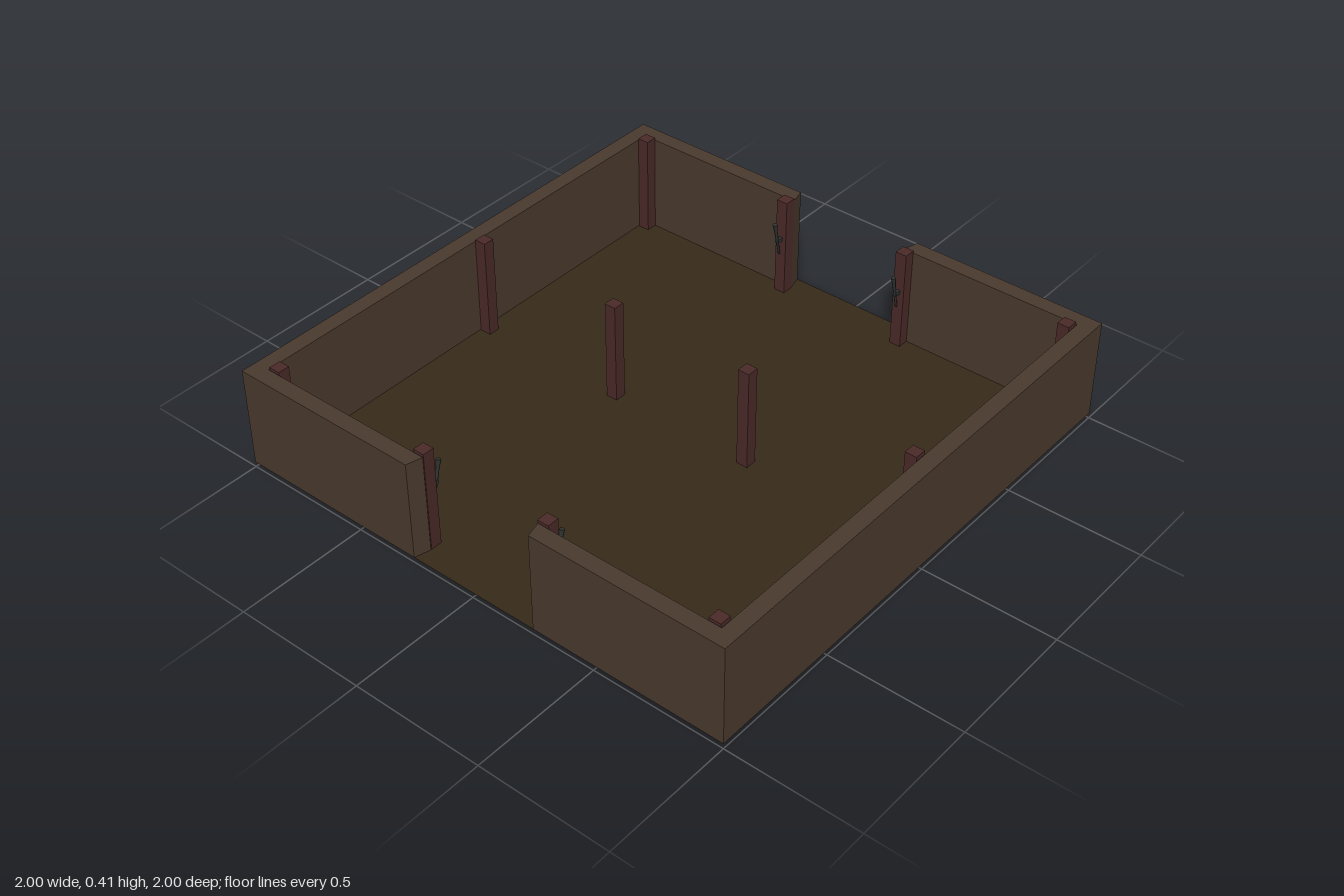
import * as THREE from 'three';

const wallMat = new THREE.MeshStandardMaterial({ color: 0x4a3a2e });
const floorMat = new THREE.MeshStandardMaterial({ color: 0x372a1a, side: THREE.DoubleSide });
const postMat = new THREE.MeshStandardMaterial({ color: 0x4a2a28 });
const ironMat = new THREE.MeshStandardMaterial({ color: 0x2f3330 });

const BASE = 0.02, WALL_TOP = 0.4, POST_TOP = 0.408, POST = 0.044;
const INNER = 0.94, GAP_IN = 0.24, GAP_OUT = 0.255;

function add(parent, name, geometry, material, x = 0, y = 0, z = 0) {
  const mesh = new THREE.Mesh(geometry, material);
  mesh.name = name;
  mesh.position.set(x, y, z);
  parent.add(mesh);
  return mesh;
}

const plan = (points) => new THREE.Shape(points.map(([x, z]) => new THREE.Vector2(x, -z)));

// Wall torch: bracket, leaning handle and wider head; dir is the way it points along z
function makeTorch(dir) {
  const torch = new THREE.Group();
  torch.name = 'torch';
  add(torch, 'torchBracket', new THREE.BoxGeometry(0.014, 0.014, 0.026), ironMat, 0, 0.25, dir * 0.011);
  const stick = new THREE.Group();
  stick.name = 'torchStick';
  stick.position.set(0, 0.19, dir * 0.008);
  stick.rotation.x = dir * 0.21;
  add(stick, 'torchHandle', new THREE.CylinderGeometry(0.006, 0.004, 0.11, 8), ironMat, 0, 0.055, 0);
  add(stick, 'torchHead', new THREE.CylinderGeometry(0.009, 0.006, 0.035, 8), ironMat, 0, 0.125, 0);
  torch.add(stick);
  return torch;
}

export function createModel() {
  const model = new THREE.Group();
  model.name = 'walledRoom';

  // Floor, running out through both openings
  const floorGeo = new THREE.ShapeGeometry(plan([
    [-INNER, -INNER], [-GAP_IN, -INNER], [-GAP_OUT, -1], [GAP_OUT, -1], [GAP_IN, -INNER], [INNER, -INNER],
    [INNER, INNER], [GAP_IN, INNER], [GAP_OUT, 1], [-GAP_OUT, 1], [-GAP_IN, INNER], [-INNER, INNER],
  ]));
  floorGeo.rotateX(-Math.PI / 2);
  add(model, 'floor', floorGeo, floorMat, 0, BASE, 0);

  // Two C-shaped walls with slanted door jambs
  for (const s of [1, -1]) {
    const shape = plan([
      [GAP_OUT, -1], [1, -1], [1, 1], [GAP_OUT, 1],
      [GAP_IN, INNER], [INNER, INNER], [INNER, -INNER], [GAP_IN, -INNER],
    ].map(([x, z]) => [s * x, z]));
    const geo = new THREE.ExtrudeGeometry(shape, { depth: WALL_TOP - BASE, bevelEnabled: false });
    geo.rotateX(-Math.PI / 2);
    add(model, s > 0 ? 'leftWall' : 'rightWall', geo, wallMat, 0, BASE, 0);
  }

  // Rows of square posts
  const postGeo = new THREE.BoxGeometry(POST, POST_TOP, POST);
  const rows = [
    { name: 'backPost', z: -0.92, xs: [-0.915, -0.262, 0.257, 0.912] },
    { name: 'middlePost', z: -0.043, xs: [-0.915, -0.315, 0.257, 0.912] },
    { name: 'frontPost', z: 0.915, xs: [-0.915, -0.262, 0.257, 0.912] },
  ];
  for (const { name, z, xs } of rows) {
    for (const x of xs) add(model, name, postGeo, postMat, x, POST_TOP / 2, z);
  }

  // Torches on the inner faces of the door posts
  for (const { z, xs } of [rows[0], rows[2]]) {
    const dir = -Math.sign(z);
    for (const x of xs.slice(1, 3)) {
      const torch = makeTorch(dir);
      torch.position.set(x, 0, z + dir * POST / 2);
      model.add(torch);
    }
  }
  return model;
}
